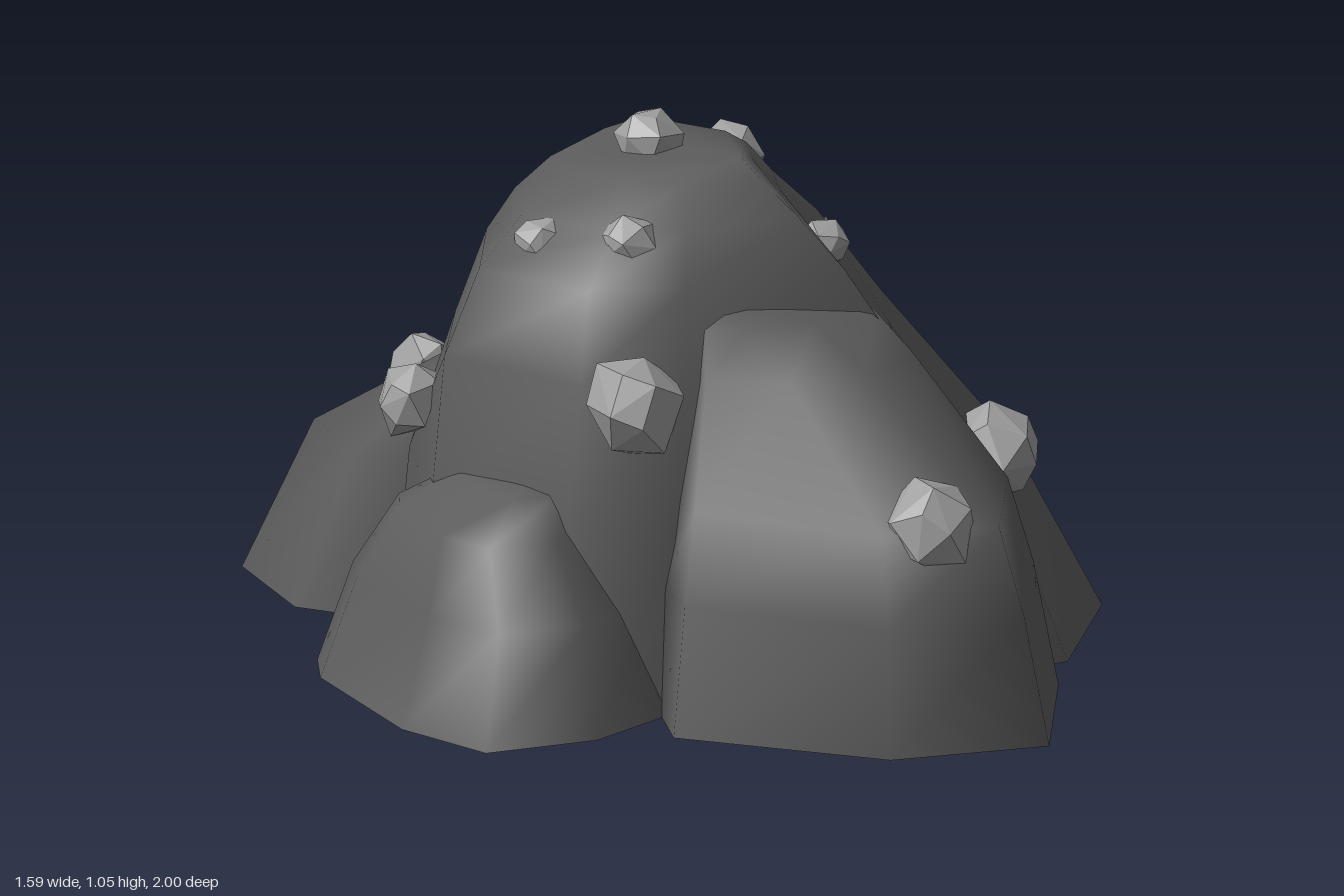
import * as THREE from 'three';
import { ConvexGeometry } from 'three/addons/geometries/ConvexGeometry.js';

const moundMaterial = new THREE.MeshStandardMaterial({ color: 0x5c5c5c, side: THREE.DoubleSide });
moundMaterial.name = 'darkStone';
const rockMaterial = new THREE.MeshStandardMaterial({ color: 0x9e9e9e, flatShading: true });
rockMaterial.name = 'paleRock';

// Open-bottomed mound lofted through rings { y, points: [x, z] } and closed at a peak [x, y, z]
function mound(name, rings, peak) {
  const n = rings[0].points.length;
  const positions = [];
  const index = [];
  for (const { y, points } of rings) {
    for (const [x, z] of points) positions.push(x, y, z);
  }
  positions.push(...peak);
  const top = rings.length * n;
  for (let l = 0; l < rings.length; l++) {
    for (let i = 0; i < n; i++) {
      const p = l * n + i;
      const q = l * n + ((i + 1) % n);
      if (l === rings.length - 1) index.push(p, top, q);
      else index.push(p, p + n, q, q, p + n, q + n);
    }
  }
  const geometry = new THREE.BufferGeometry();
  geometry.setAttribute('position', new THREE.Float32BufferAttribute(positions, 3));
  geometry.setIndex(index);
  geometry.computeVertexNormals();
  const mesh = new THREE.Mesh(geometry, moundMaterial);
  mesh.name = name;
  return mesh;
}

// Refit one outline to the bounds of each level [y, xMin, xMax, zMin, zMax]
function fitRings(outline, levels) {
  const [, x0, x1, z0, z1] = levels[0];
  return levels.map(([y, a, b, c, d]) => ({
    y,
    points: outline.map(([x, z]) => [
      a + ((x - x0) / (x1 - x0)) * (b - a),
      c + ((z - z0) / (z1 - z0)) * (d - c),
    ]),
  }));
}

// Chipped rock: hull of three shrinking jittered rings, its narrow end along the outward direction
function rock(center, size, out, seed) {
  let s = seed * 7919 + 13;
  const random = () => (s = (s * 16807) % 2147483647) / 2147483647;
  for (let i = 0; i < 5; i++) random();
  const points = [];
  for (const [count, h, r] of [[5, -0.6, 0.9], [6, 0, 1], [4, 0.62, 0.55]]) {
    const start = random() * 6;
    for (let i = 0; i < count; i++) {
      const angle = start + ((i + random() * 0.4) / count) * Math.PI * 2;
      const k = r * (0.95 + random() * 0.18);
      points.push(new THREE.Vector3(Math.cos(angle) * k, h + (random() - 0.5) * 0.2, Math.sin(angle) * k));
    }
  }
  const mesh = new THREE.Mesh(new ConvexGeometry(points), rockMaterial);
  mesh.position.set(...center);
  mesh.scale.setScalar(size);
  mesh.quaternion.setFromUnitVectors(new THREE.Vector3(0, 1, 0), new THREE.Vector3(...out).normalize());
  mesh.name = 'smallRock' + seed;
  return mesh;
}

export function createModel() {
  const model = new THREE.Group();
  model.name = 'rockMound';

  // Large central dome
  model.add(mound('mainMound', [
    { y: 0, points: [[0.79, 0.12], [0.74, 0.5], [0.38, 0.68], [0.16, 0.6], [-0.35, 0.32],
      [-0.5, 0.1], [-0.46, -0.25], [-0.13, -0.56], [0.2, -0.52], [0.64, -0.43]] },
    { y: 0.35, points: [[0.71, 0.06], [0.62, 0.36], [0.4, 0.49], [0.18, 0.58], [-0.36, 0.28],
      [-0.47, 0.1], [-0.43, -0.25], [-0.13, -0.52], [0.2, -0.49], [0.62, -0.38]] },
    { y: 0.64, points: [[0.57, -0.05], [0.46, 0.18], [0.3, 0.31], [0.11, 0.49], [-0.29, 0.25],
      [-0.42, 0.1], [-0.4, -0.24], [-0.13, -0.41], [0.2, -0.4], [0.52, -0.38]] },
    { y: 0.81, points: [[0.48, -0.09], [0.37, 0.09], [0.24, 0.16], [0.07, 0.37], [-0.23, 0.21],
      [-0.355, 0.07], [-0.34, -0.2], [-0.11, -0.35], [0.18, -0.36], [0.45, -0.34]] },
    { y: 0.9, points: [[0.37, -0.1], [0.29, 0.04], [0.19, 0.13], [0.04, 0.29], [-0.15, 0.16],
      [-0.24, 0.05], [-0.24, -0.17], [-0.1, -0.29], [0.17, -0.32], [0.36, -0.31]] },
    { y: 0.97, points: [[0.26, -0.05], [0.22, 0.03], [0.14, 0.1], [0.03, 0.2], [-0.08, 0.1],
      [-0.13, 0], [-0.14, -0.13], [-0.08, -0.22], [0.14, -0.25], [0.25, -0.24]] },
  ], [0.04, 1, 0.15]));

  // Tall front buttress
  model.add(mound('frontMound', [
    { y: 0, points: [[0.29, 0.62], [0.24, 0.76], [-0.12, 1], [-0.38, 0.81], [-0.5, 0.38], [-0.38, 0.26], [0.18, 0.5]] },
    { y: 0.25, points: [[0.23, 0.6], [0.2, 0.73], [-0.12, 0.94], [-0.35, 0.78], [-0.45, 0.37], [-0.36, 0.25], [0.15, 0.48]] },
    { y: 0.42, points: [[0.2, 0.57], [0.17, 0.69], [-0.12, 0.88], [-0.31, 0.74], [-0.39, 0.35], [-0.31, 0.24], [0.13, 0.46]] },
    { y: 0.65, points: [[0.14, 0.45], [0.12, 0.5], [-0.06, 0.52], [-0.2, 0.44], [-0.27, 0.29], [-0.2, 0.18], [0.1, 0.36]] },
    { y: 0.73, points: [[0.11, 0.38], [0.1, 0.42], [-0.05, 0.39], [-0.17, 0.31], [-0.22, 0.25], [-0.16, 0.14], [0.08, 0.3]] },
  ], [-0.18, 0.775, 0.22]));

  // Rear buttress
  model.add(mound('backMound', fitRings(
    [[0.54, -0.45], [0.45, -0.38], [-0.1, -0.46], [-0.16, -0.56], [-0.19, -0.75], [-0.02, -1],
      [0.4, -0.77], [0.52, -0.63]],
    [[0, -0.19, 0.54, -1, -0.38], [0.31, -0.13, 0.53, -0.86, -0.35], [0.57, -0.06, 0.36, -0.43, -0.27]]),
  [0.13, 0.59, -0.33]));

  // Low buttress on the right-hand side
  model.add(mound('sideMound', fitRings(
    [[-0.35, 0.28], [-0.6, 0.27], [-0.8, 0.15], [-0.76, -0.08], [-0.56, -0.42], [-0.46, -0.5],
      [-0.35, -0.46], [-0.32, -0.1]],
    [[0, -0.8, -0.32, -0.5, 0.28], [0.2, -0.68, -0.32, -0.44, 0.2], [0.35, -0.63, -0.32, -0.34, 0.11],
      [0.42, -0.52, -0.32, -0.22, 0.06]]),
  [-0.4, 0.43, -0.04]));

  // Rocks scattered over the surface: centre, size, outward direction
  const rocks = [
    [[0.05, 1.01, -0.08], 0.066, [0, 1, -0.1]],
    [[0.39, 0.89, -0.13], 0.068, [0.6, 0.8, -0.1]],
    [[0.55, 0.68, -0.06], 0.062, [0.9, 0.45, 0.1]],
    [[0.27, 0.79, 0.19], 0.046, [0.4, 0.6, 0.7]],
    [[0.47, 0.37, 0.46], 0.09, [0.5, 0.35, 0.8]],
    [[-0.2, 0.43, 0.78], 0.092, [-0.3, 0.6, 0.7]],
    [[-0.38, 0.61, 0.2], 0.098, [-0.8, 0.35, 0.5]],
    [[-0.22, 0.88, 0.07], 0.062, [-0.6, 0.75, 0.2]],
    [[-0.26, 0.86, -0.12], 0.055, [-0.7, 0.7, -0.1]],
    [[-0.31, 0.51, -0.4], 0.075, [-0.6, 0.35, -0.7]],
    [[0.63, 0.42, -0.33], 0.068, [0.8, 0.3, -0.3]],
    [[0.11, 0.44, -0.67], 0.07, [-0.1, 0.8, -0.6]],
  ];
  rocks.forEach((r, i) => model.add(rock(...r, i + 1)));
  return model;
}
